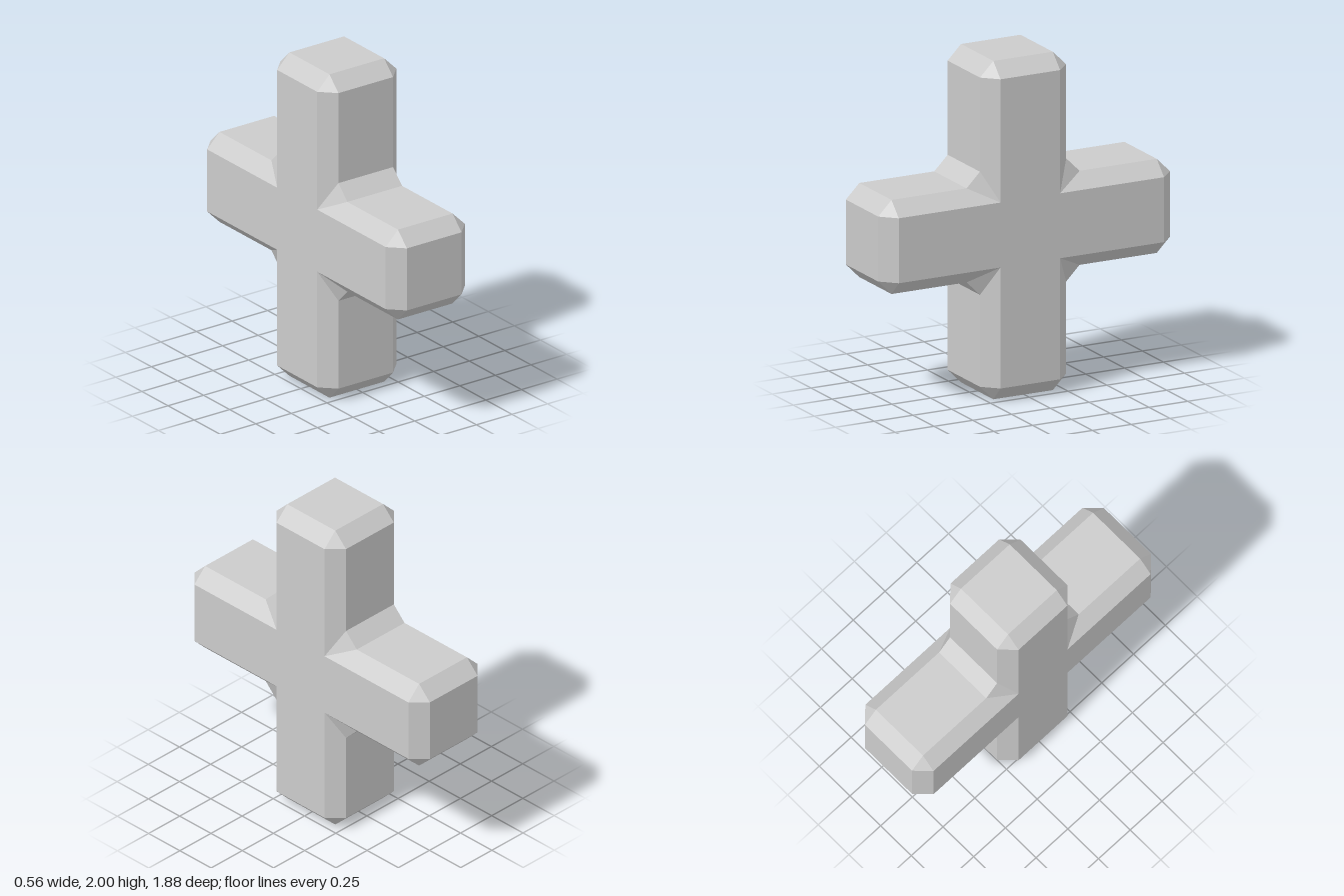
import * as THREE from 'three';

const HALF = 0.278, FLAT = 0.192, BEVEL = HALF - FLAT; // arm half-thickness, flat half-width, chamfer
const NOTCH = 0.364;                                   // where the inner-corner chamfers end
const CENTRE = { x: -0.003, y: 0.9935, z: 0.007 };
const ARMS = [0.934, 1.0065, 0.948, 0.9935];           // front, top, back, bottom lengths

// Quarter turns in the (z, y) plane
function turn([z, y], times) {
  for (let i = 0; i < times; i++) [z, y] = [-y, z];
  return [z, y];
}

// Wide outline has chamfered corners; the narrow one has sharp corners, each doubled to match
function outlines() {
  const wide = [], narrow = [];
  for (let q = 0; q < 4; q++) {
    const a = ARMS[q], b = ARMS[(q + 1) % 4];
    const chamfered = [[a, FLAT], [a - BEVEL, HALF], [NOTCH, HALF], [HALF, NOTCH], [HALF, b - BEVEL], [FLAT, b]];
    const sharp = [[a - BEVEL, FLAT], [FLAT, FLAT], [FLAT, b - BEVEL]];
    chamfered.forEach((p) => wide.push(turn(p, q)));
    sharp.forEach((p) => narrow.push(turn(p, q), turn(p, q)));
  }
  return { wide, narrow };
}

function crossGeometry() {
  const { wide, narrow } = outlines();
  const rings = [[-HALF, narrow], [-FLAT, wide], [FLAT, wide], [HALF, narrow]]
    .map(([x, pts]) => pts.map(([z, y]) => new THREE.Vector3(x, y, z)));
  const positions = [];
  const triangle = (a, b, c) => {
    if (a.equals(b) || b.equals(c) || c.equals(a)) return;
    for (const p of [a, b, c]) positions.push(p.x, p.y, p.z);
  };

  // Chamfers and arm faces between neighbouring rings
  for (let r = 0; r < rings.length - 1; r++) {
    const near = rings[r], far = rings[r + 1], n = near.length;
    for (let i = 0; i < n; i++) {
      const j = (i + 1) % n;
      triangle(near[i], far[i], far[j]);
      triangle(near[i], far[j], near[j]);
    }
  }

  // Flat cross-shaped side faces
  const contour = narrow.filter((_, i) => i % 2 === 0).map(([z, y]) => new THREE.Vector2(z, y));
  for (const [a, b, c] of THREE.ShapeUtils.triangulateShape(contour, [])) {
    const right = rings[0], left = rings[3];
    triangle(right[2 * a], right[2 * b], right[2 * c]);
    triangle(left[2 * a], left[2 * c], left[2 * b]);
  }

  const geometry = new THREE.BufferGeometry();
  geometry.setAttribute('position', new THREE.Float32BufferAttribute(positions, 3));
  geometry.computeVertexNormals();
  return geometry;
}

export function createModel() {
  const group = new THREE.Group();
  group.name = 'bevelledCross';
  const material = new THREE.MeshStandardMaterial({ color: 0xcccccc, flatShading: true });
  const cross = new THREE.Mesh(crossGeometry(), material);
  cross.name = 'crossBody';
  cross.position.set(CENTRE.x, CENTRE.y, CENTRE.z);
  group.add(cross);
  return group;
}
